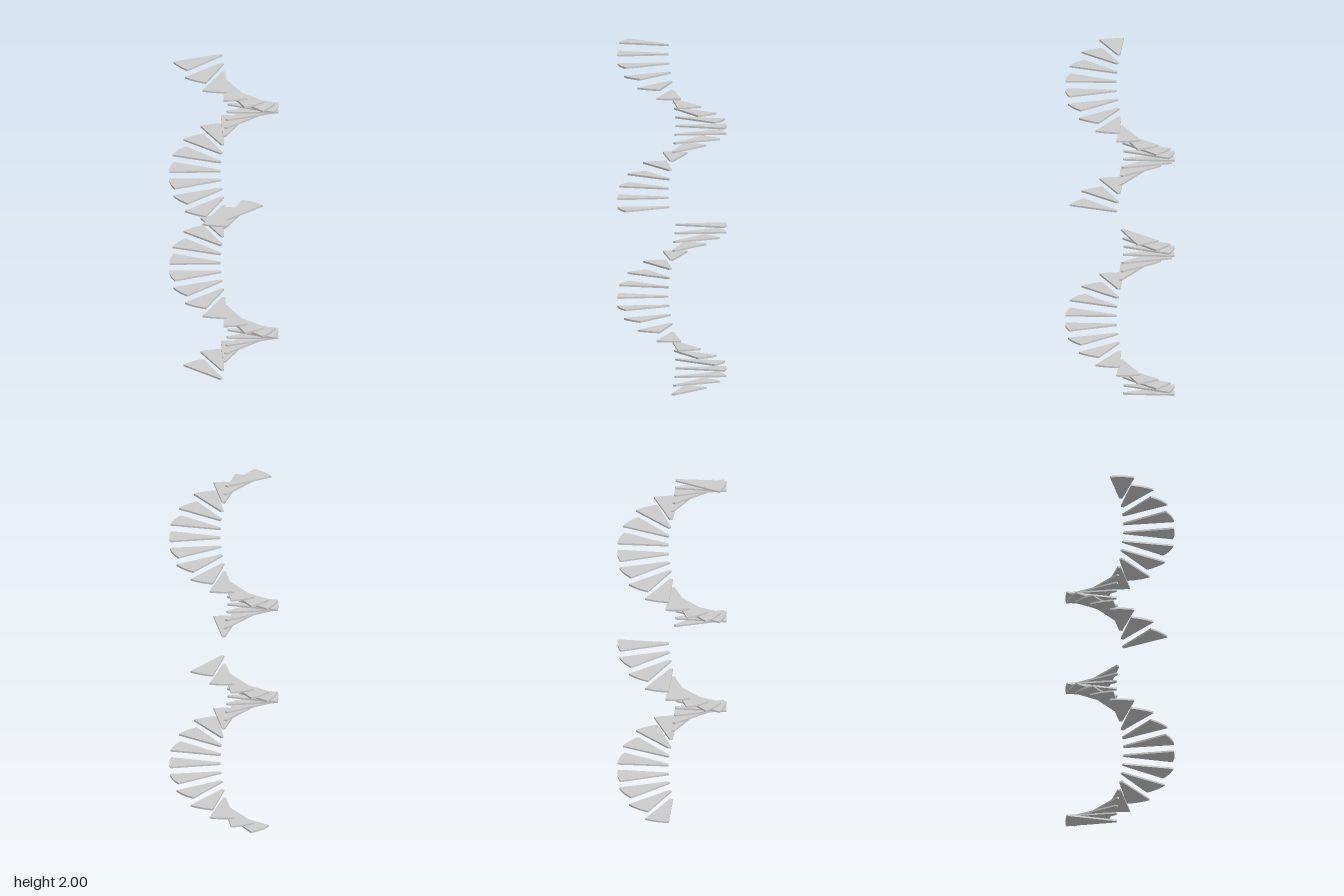
import * as THREE from 'three';

const STEPS = 40, THICK = 0.01, R_IN = 0.021, R_OUT = 0.306;
const TURN = Math.PI / 8;               // rotation from one tread to the next
const OUTER = THREE.MathUtils.degToRad(26.1); // sweep of the outer rim
const INNER = Math.PI / 4;              // sweep of the inner rim

// Fan-shaped tread lying flat, base at y = 0
function treadGeometry() {
  const shape = new THREE.Shape();
  shape.moveTo(R_IN, 0);
  shape.lineTo(R_OUT, 0);
  shape.absarc(0, 0, R_OUT, 0, OUTER, false);
  shape.lineTo(R_IN * Math.cos(INNER), R_IN * Math.sin(INNER));
  shape.absarc(0, 0, R_IN, INNER, 0, true);
  const geo = new THREE.ExtrudeGeometry(shape, { depth: THICK, bevelEnabled: false, curveSegments: 10 });
  return geo.rotateX(-Math.PI / 2);
}

export function createModel() {
  const model = new THREE.Group();
  model.name = 'spiralStaircase';
  const upper = new THREE.Group();
  upper.name = 'upperFlight';
  const lower = new THREE.Group();
  lower.name = 'lowerFlight';
  model.add(upper, lower);

  const geo = treadGeometry();
  const mat = new THREE.MeshStandardMaterial({ color: 0xcccccc });
  const rise = (2 - THICK) / (STEPS - 1);

  // Treads counted from the top down; the one at the landing is left out
  for (let i = 0; i < STEPS; i++) {
    if (i === 19) continue;
    const isUpper = i < 19;
    const tread = new THREE.Mesh(geo, mat);
    tread.name = 'tread' + (STEPS - i);
    tread.position.y = (STEPS - 1 - i) * rise;
    // the lower flight starts at a different heading
    tread.rotation.y = Math.PI + TURN * (isUpper ? i : i - 11);
    (isUpper ? upper : lower).add(tread);
  }
  return model;
}
